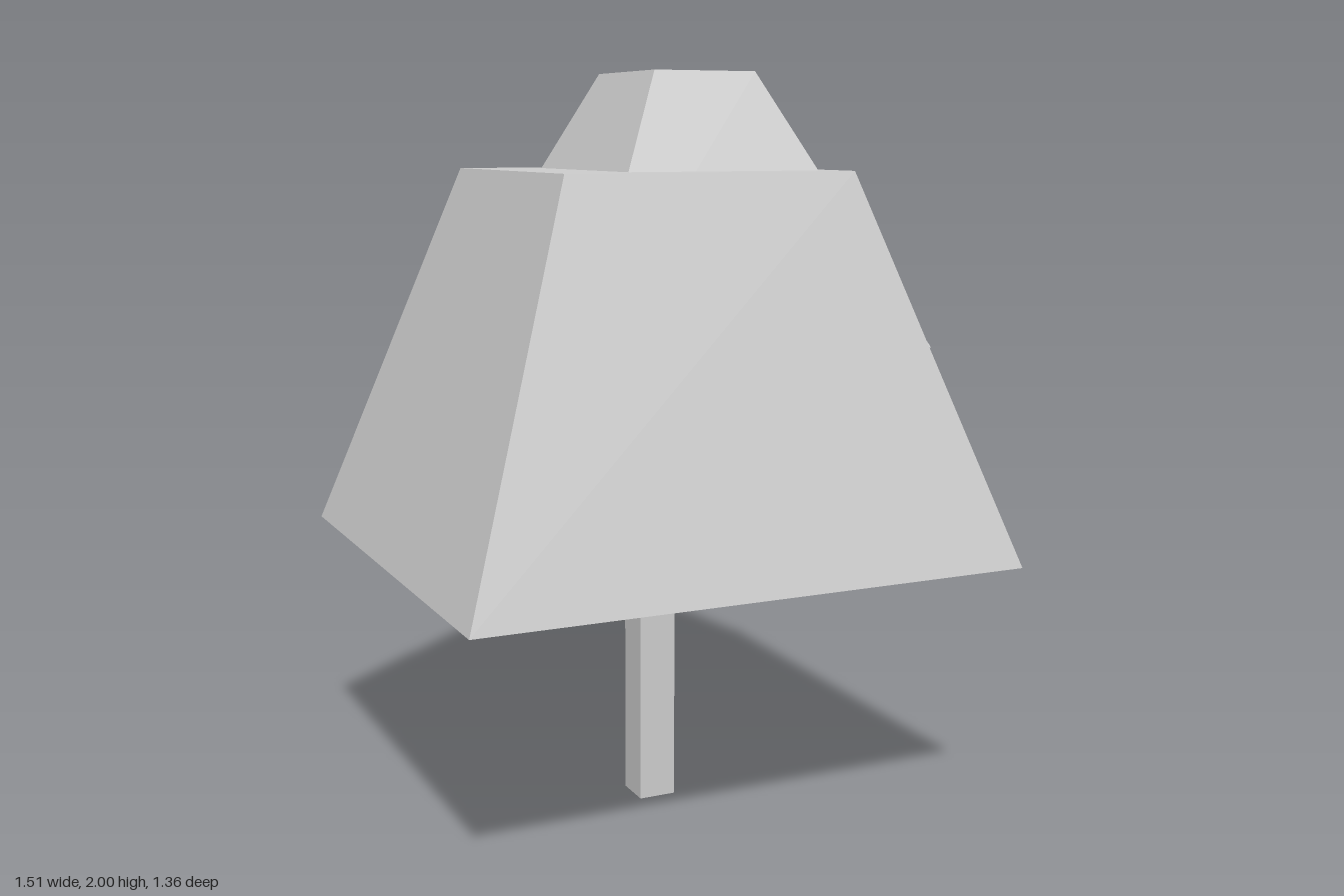
import * as THREE from 'three';

// Four-sided block from y0 to y1 whose half sizes go from bottom [x, z] to top [x, z]
function taperedBlock(name, material, y0, y1, bottom, top) {
  const geometry = new THREE.BoxGeometry(2, y1 - y0, 2);
  geometry.translate(0, (y0 + y1) / 2, 0);
  const p = geometry.attributes.position;
  const middle = (y0 + y1) / 2;
  for (let i = 0; i < p.count; i++) {
    const [hx, hz] = p.getY(i) > middle ? top : bottom;
    p.setX(i, p.getX(i) * hx);
    p.setZ(i, p.getZ(i) * hz);
  }
  geometry.computeVertexNormals();
  const mesh = new THREE.Mesh(geometry, material);
  mesh.name = name;
  return mesh;
}

export function createModel() {
  const group = new THREE.Group();
  group.name = 'blockTree';
  const grey = new THREE.MeshStandardMaterial({ color: 0xcccccc });
  grey.name = 'light grey';

  const trunk = taperedBlock('trunk', grey, 0, 0.75, [0.052, 0.052], [0.052, 0.052]);
  const lowerCrown = taperedBlock('lowerCrown', grey, 0.73, 1.747, [0.755, 0.678], [0.4, 0.387]);

  // Upper crown sits off centre, sinks into the lower one and just breaks through its left side
  const upperCrown = taperedBlock('upperCrown', grey, 1.297, 2, [0.492, 0.507], [0.144, 0.179]);
  upperCrown.position.x = 0.075;

  group.add(trunk, lowerCrown, upperCrown);
  return group;
}
